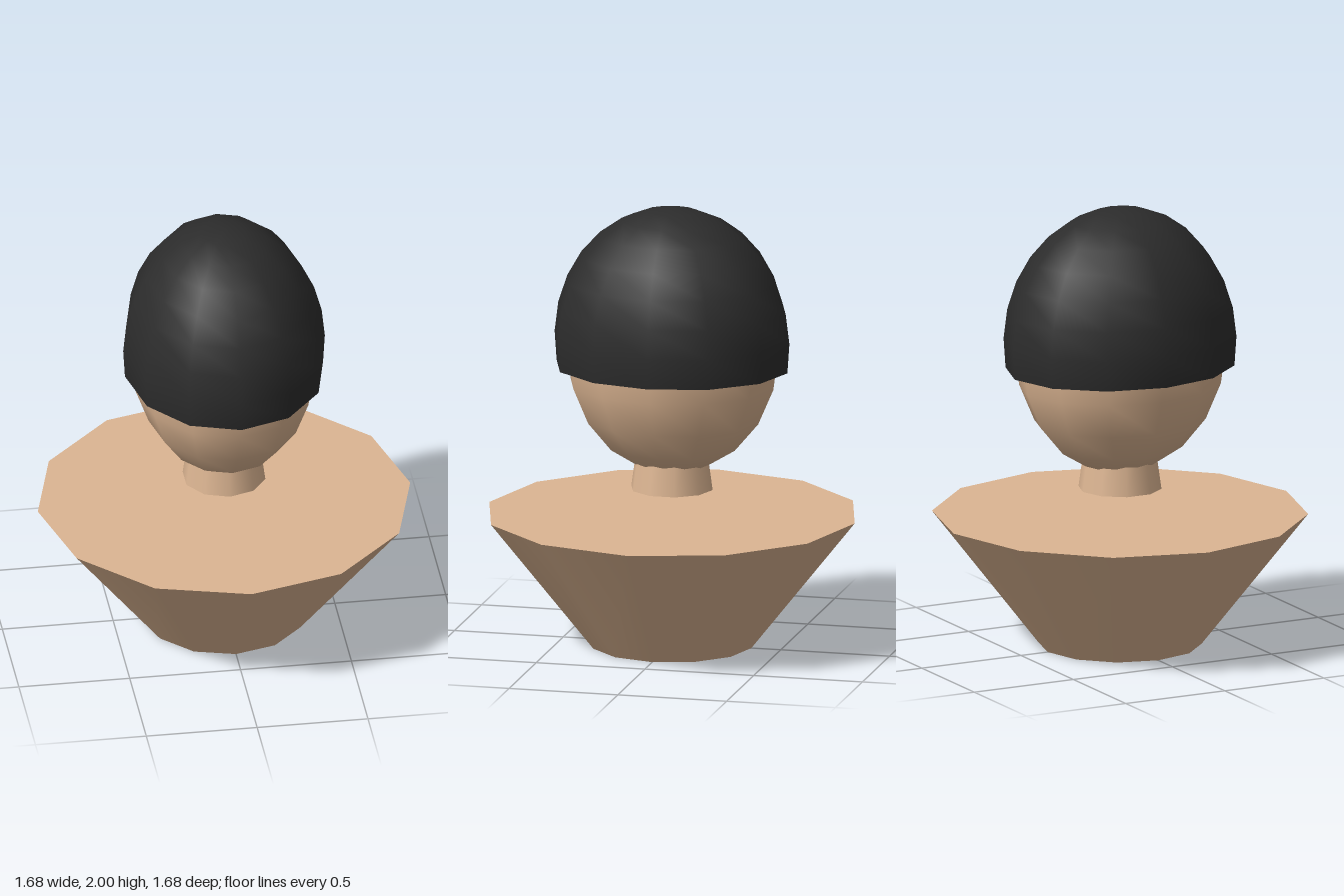
import * as THREE from 'three';

export function createModel() {
  const skin = new THREE.MeshStandardMaterial({ color: 0xdcb592 });
  skin.name = 'skin';
  const black = new THREE.MeshStandardMaterial({ color: 0x2c2c2c, side: THREE.DoubleSide });
  black.name = 'black cloth';

  const model = new THREE.Group();
  model.name = 'bust';
  const add = (name, geometry, material, y) => {
    const mesh = new THREE.Mesh(geometry, material);
    mesh.name = name;
    mesh.position.y = y;
    model.add(mesh);
    return mesh;
  };

  // Tapered torso, wide at the shoulders
  add('torso', new THREE.CylinderGeometry(0.84, 0.365, 0.6, 12), skin, 0.3);

  // Neck floats above the torso and runs up into the head
  add('neck', new THREE.CylinderGeometry(0.15, 0.187, 0.265, 10), skin, 0.8475);

  // Egg-shaped head, deeper than it is wide
  add('head', new THREE.SphereGeometry(1, 12, 10), skin, 1.37).scale.set(0.42, 0.58, 0.49);

  // Open cap pulled down just below the widest part of the head
  const cap = new THREE.SphereGeometry(1, 12, 8, 0, Math.PI * 2, 0, Math.PI * 0.56);
  add('cap', cap, black, 1.386).scale.set(0.455, 0.614, 0.54);

  return model;
}
